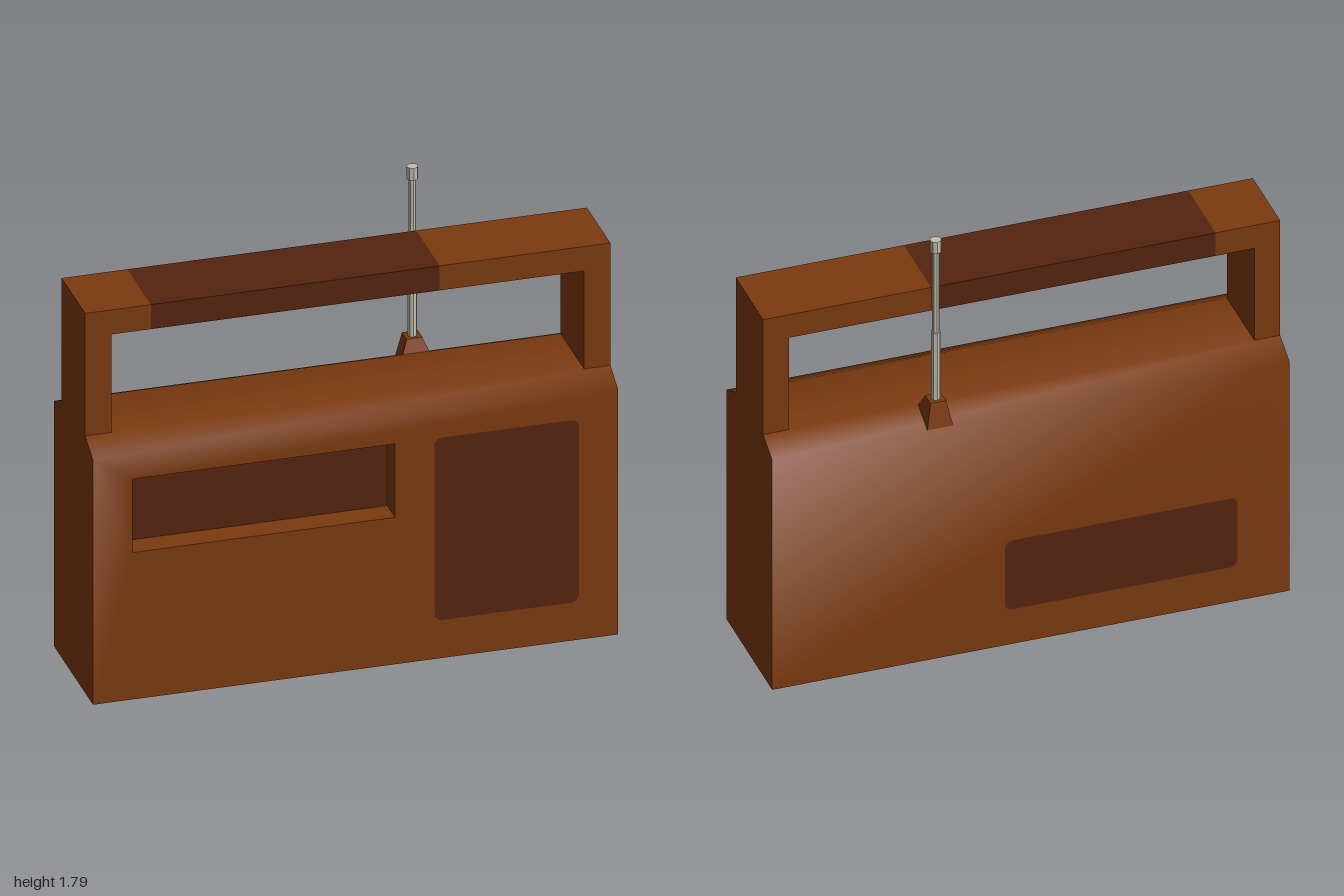
import * as THREE from 'three';
import { mergeGeometries, toCreasedNormals } from 'three/addons/utils/BufferGeometryUtils.js';

const mat = (name, color) => Object.assign(new THREE.MeshStandardMaterial({ color }), { name });

// Rounded rectangle outline; works as a shape and as a hole
function panelShape(x0, y0, x1, y1, r = 0) {
  const s = new THREE.Shape();
  if (!r) {
    s.moveTo(x0, y0).lineTo(x1, y0).lineTo(x1, y1).lineTo(x0, y1);
    return s;
  }
  s.absarc(x1 - r, y0 + r, r, -Math.PI / 2, 0);
  s.absarc(x1 - r, y1 - r, r, 0, Math.PI / 2);
  s.absarc(x0 + r, y1 - r, r, Math.PI / 2, Math.PI);
  s.absarc(x0 + r, y0 + r, r, Math.PI, Math.PI * 1.5);
  return s;
}

// Single quad from four counter-clockwise corners
function quad(a, b, c, d) {
  const g = new THREE.BufferGeometry();
  g.setAttribute('position', new THREE.Float32BufferAttribute([a, b, c, a, c, d].flat(), 3));
  g.computeVertexNormals();
  return g;
}

function face(shape) {
  const g = new THREE.ShapeGeometry(shape, 4).toNonIndexed();
  g.deleteAttribute('uv');
  return g;
}

export function createModel() {
  const model = new THREE.Group();
  const wood = mat('brown casing', 0x7b3a10);
  const dark = mat('dark brown panels', 0x54240f);
  const metal = mat('pale metal', 0xc4beae);
  const add = (name, geo, material) => {
    const m = new THREE.Mesh(geo, material);
    m.name = name;
    model.add(m);
    return m;
  };

  // Panels that fill the openings in the casing
  const display = panelShape(-0.85, 0.6, 0.15, 0.9);
  const speaker = panelShape(0.3, 0.155, 0.85, 0.9, 0.03);
  const hatch = panelShape(-0.1, 0.15, 0.8, 0.45, 0.03); // mirrored in x on the back
  const front = panelShape(-1, 0, 1, 1);
  front.holes.push(display, speaker);
  const back = panelShape(-1, 0, 1, 1);
  back.holes.push(hatch);

  // Casing: front and back faces, then a strip over the chamfered top
  const parts = [face(front).translate(0, 0, 0.25), face(back).rotateY(Math.PI).translate(0, 0, -0.25)];
  const rim = [[1, 0.25], [1.05, 0.15], [1.05, -0.15], [1, -0.25]];
  for (let i = 0; i < 3; i++) {
    const [y0, z0] = rim[i], [y1, z1] = rim[i + 1];
    parts.push(quad([-1, y0, z0], [1, y0, z0], [1, y1, z1], [-1, y1, z1]));
  }
  parts.push(quad([-1, 0, -0.25], [1, 0, -0.25], [1, 0, 0.25], [-1, 0, 0.25]));

  // Casing ends
  const profile = new THREE.Shape([[-0.25, 0], [0.25, 0], ...rim.map(([y, z]) => [z, y])]
    .map(([z, y]) => new THREE.Vector2(z, y)));
  for (const side of [1, -1]) parts.push(face(profile).rotateY(side * Math.PI / 2).translate(side, 0, 0));

  // Walls of the display recess
  const hole = [[-0.85, 0.6], [0.15, 0.6], [0.15, 0.9], [-0.85, 0.9]];
  hole.forEach(([x0, y0], i) => {
    const [x1, y1] = hole[(i + 1) % 4];
    parts.push(quad([x0, y0, 0.25], [x1, y1, 0.25], [x1, y1, 0.15], [x0, y0, 0.15]));
  });
  add('casing', toCreasedNormals(mergeGeometries(parts), 1.2), wood);

  // Dark panels
  add('display', face(display).translate(0, 0, 0.15), dark);
  add('speaker', face(speaker).translate(0, 0, 0.25), dark);
  add('batteryHatch', face(hatch).rotateY(Math.PI).translate(0, 0, -0.25), dark);

  // Carry handle: an L-shaped piece at each end and a dark grip between
  for (const [side, gripEnd, name] of [[-1, -0.75, 'rightHandleEnd'], [1, 0.35, 'leftHandleEnd']]) {
    const ell = new THREE.Shape([
      [side, 1.05], [side, 1.55], [gripEnd, 1.55], [gripEnd, 1.45], [side * 0.9, 1.45], [side * 0.9, 1.05],
    ].map(([x, y]) => new THREE.Vector2(x, y)));
    const geo = new THREE.ExtrudeGeometry(ell, { depth: 0.3, bevelEnabled: false });
    add(name, geo.translate(0, 0, -0.15), wood);
  }
  add('handleGrip', new THREE.BoxGeometry(1.1, 0.1, 0.3), dark).position.set(-0.2, 1.5, 0);

  // Antenna foot: tapered block whose underside follows the rear chamfer
  const foot = new THREE.CylinderGeometry(0.03 * Math.SQRT2, 0.05 * Math.SQRT2, 0.1, 4)
    .rotateY(Math.PI / 4).translate(0.35, 1.05, -0.2);
  const p = foot.attributes.position;
  for (let i = 0; i < p.count; i++) {
    if (p.getY(i) < 1.05) p.setY(i, 1.05 + (p.getZ(i) + 0.15) * 0.5);
  }
  add('antennaFoot', toCreasedNormals(foot, 0.1), wood);

  // Telescopic antenna
  const sections = [['antennaLowerTube', 0.018, 1.1, 1.39], ['antennaUpperTube', 0.014, 1.39, 1.74], ['antennaTip', 0.022, 1.74, 1.79]];
  for (const [name, r, y0, y1] of sections) {
    const geo = toCreasedNormals(new THREE.CylinderGeometry(r, r, y1 - y0, 8), 0.1);
    add(name, geo, metal).position.set(0.35, (y0 + y1) / 2, -0.2);
  }
  return model;
}
